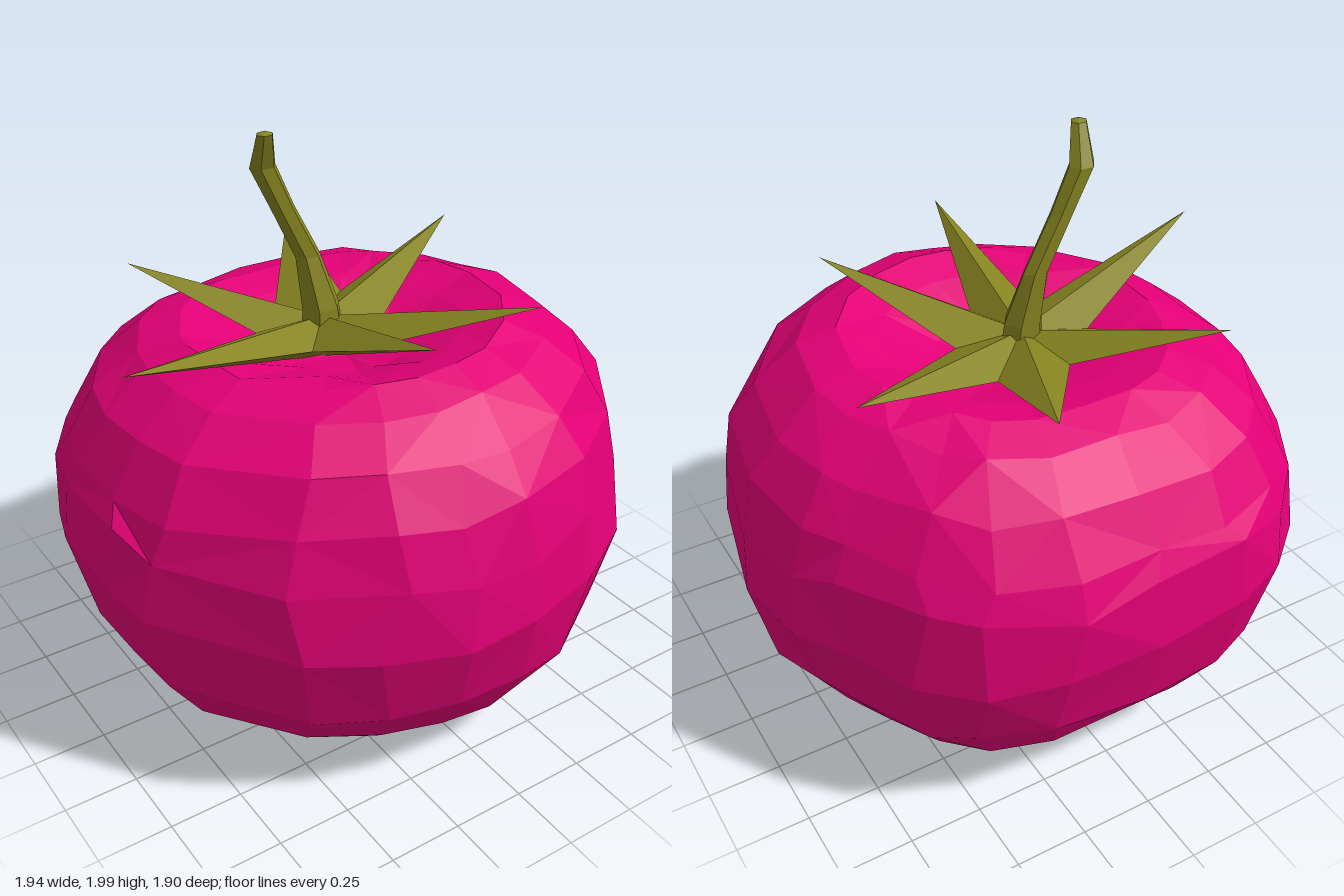
import * as THREE from 'three';

const V = (x, y, z) => new THREE.Vector3(x, y, z);

const skin = new THREE.MeshStandardMaterial({ color: 0xe40076, flatShading: true });
const green = new THREE.MeshStandardMaterial({ color: 0x868420, flatShading: true });

// small repeatable noise in -1..1
function noise(i, j) {
  const s = Math.sin(i * 12.99 + j * 78.23) * 43758.55;
  return (s - Math.floor(s)) * 2 - 1;
}

function mesh(name, triangles, material) {
  const geometry = new THREE.BufferGeometry().setFromPoints(triangles);
  geometry.computeVertexNormals();
  const m = new THREE.Mesh(geometry, material);
  m.name = name;
  return m;
}

// Skin between closed rings listed from bottom to top, counterclockwise from above
function loft(rings) {
  const out = [];
  for (let j = 0; j < rings.length - 1; j++) {
    const lo = rings[j], hi = rings[j + 1], n = lo.length;
    for (let i = 0; i < n; i++) {
      const k = (i + 1) % n;
      const a = lo[i], b = lo[k], c = hi[k], d = hi[i];
      const quad = (i + j) % 2 ? [a, b, c, a, c, d] : [a, b, d, b, c, d];
      for (let t = 0; t < 6; t += 3) {
        const [p, q, r] = quad.slice(t, t + 3);
        if (!p.equals(q) && !q.equals(r) && !p.equals(r)) out.push(p, q, r);
      }
    }
  }
  return out;
}

// Fruit: an uneven plan outline scaled by a side profile
function makeFruit() {
  const outline = [
    [-0.155, 0.935], [0.08, 0.94], [0.35, 0.87], [0.67, 0.66], [0.885, 0.36], [0.965, -0.05],
    [0.91, -0.3], [0.82, -0.47], [0.68, -0.71], [0.54, -0.85], [0.29, -0.95], [-0.03, -0.955],
    [-0.34, -0.945], [-0.57, -0.86], [-0.77, -0.68], [-0.93, -0.39], [-0.97, -0.2], [-0.97, 0.1],
    [-0.93, 0.33], [-0.65, 0.7], [-0.4, 0.86],
  ];
  // scale, height, unevenness
  const profile = [
    [0, 0.1, 0], [0.2, 0.065, 0.2], [0.42, 0.02, 0.3], [0.62, 0.04, 0.3], [0.79, 0.17, 0.4],
    [0.925, 0.36, 0.7], [1, 0.64, 1], [0.98, 0.88, 1], [0.935, 1.02, 0.8], [0.84, 1.17, 0.6],
    [0.69, 1.285, 0.4], [0.55, 1.33, 0.3], [0.41, 1.295, 0.3], [0.22, 1.225, 0.3], [0, 1.18, 0],
  ];
  const rings = profile.map(([s, h, u], j) => outline.map(([x, z], i) => {
    const k = s * (1 + 0.01 * u * noise(i, j));
    const lean = h > 1 ? 0.03 * (x + z) * s : -0.015 * (x + z) * s;
    const turn = s * u * 0.05 * noise(i + 7, j);
    const y = Math.max(0, h + lean + 0.03 * u * noise(i, j + 31));
    return V(x * k + z * turn, y, z * k - x * turn);
  }));
  return mesh('fruit', loft(rings), skin);
}

// Calyx: six pointed sepals with a raised midrib and a pointed underside
function makeCalyx() {
  const tips = [
    V(-0.11, 1.49, 0.63), V(0.4, 1.45, 0.51), V(0.67, 1.43, -0.35),
    V(0.2, 1.42, -0.7), V(-0.52, 1.44, -0.56), V(-0.9, 1.44, 0.19),
  ];
  // notch i lies just before tip i
  const notches = [
    V(-0.2, 1.29, 0.1), V(0, 1.29, 0.18), V(0.16, 1.29, -0.01),
    V(0.14, 1.29, -0.25), V(-0.11, 1.29, -0.28), V(-0.28, 1.29, -0.12),
  ];
  const top = V(-0.06, 1.32, -0.06), under = V(-0.06, 1.17, -0.06);
  const out = [];
  tips.forEach((tip, i) => {
    const a = notches[i], b = notches[(i + 1) % 6];
    out.push(top, a, tip, top, tip, b);
    out.push(under, tip, a, under, b, tip);
  });
  return mesh('calyx', out, green);
}

// Stem: six-sided, bent twice and cut off at the top
function makeStem() {
  const sections = [ // centre x, y, z, half width in x, half width in z
    [-0.06, 1.26, -0.06, 0.08, 0.065],
    [-0.065, 1.36, -0.06, 0.07, 0.06],
    [-0.1, 1.54, -0.08, 0.046, 0.036],
    [-0.19, 1.72, -0.08, 0.042, 0.036],
    [-0.26, 1.87, -0.08, 0.046, 0.04],
    [-0.282, 1.99, -0.022, 0.028, 0.026],
    [-0.282, 2.0, -0.022, 0, 0],
  ];
  const rings = sections.map(([x, y, z, w, d]) => Array.from({ length: 6 }, (_, i) => {
    const a = (i * Math.PI) / 3;
    return V(x + w * Math.sin(a + 0.5), y, z + d * Math.cos(a + 0.5));
  }));
  return mesh('stem', loft(rings), green);
}

export function createModel() {
  const group = new THREE.Group();
  group.name = 'tomato';
  group.add(makeFruit(), makeCalyx(), makeStem());
  return group;
}
